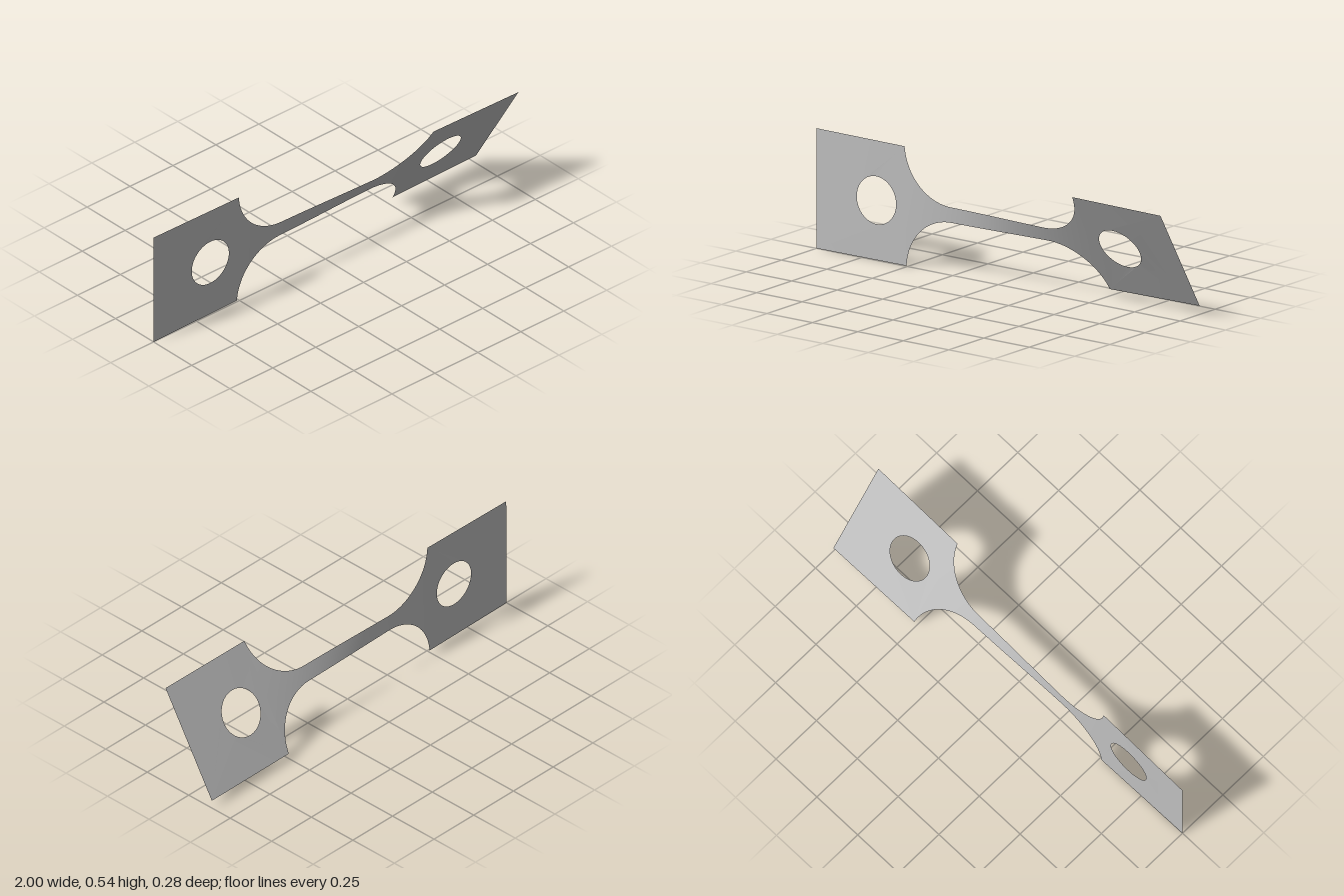
import * as THREE from 'three';

const HALF = 0.271, NECK = 0.036, FILLET = 0.25, FILLET_X = 0.26, EDGE = 0.51, HOLE_X = 0.67, HOLE_R = 0.108;

// Twist about the long axis, nearly all of it in the slender neck
const twistAt = (x) => THREE.MathUtils.degToRad(15.55 + 15.5 * Math.tanh(3 * x));

// Twists a flat sheet and lifts it to stand on the ground
function twist(geometry) {
  const p = geometry.attributes.position;
  for (let i = 0; i < p.count; i++) {
    const x = p.getX(i), y = p.getY(i), a = twistAt(x);
    p.setXYZ(i, x, HALF + y * Math.cos(a), y * Math.sin(a));
  }
  geometry.computeVertexNormals();
  return geometry;
}

// Square grip tab with a round hole
function gripTab(side) {
  const a = Math.min(side, side * EDGE), b = Math.max(side, side * EDGE);
  const shape = new THREE.Shape();
  shape.moveTo(a, -HALF).lineTo(b, -HALF).lineTo(b, HALF).lineTo(a, HALF).closePath();
  shape.holes.push(new THREE.Path().absarc(side * HOLE_X, 0, HOLE_R, 0, Math.PI * 2, true));
  return twist(new THREE.ShapeGeometry(shape, 32));
}

// Neck with a circular fillet at each end
function neck() {
  const columns = [];
  const sweep = Math.acos((NECK + FILLET - HALF) / FILLET);
  for (let i = 0; i <= 24; i++) {
    const t = sweep * (1 - i / 24);
    columns.push([-FILLET_X - FILLET * Math.sin(t), NECK + FILLET * (1 - Math.cos(t))]);
  }
  columns[0][0] = -EDGE;
  for (let i = 1; i < 20; i++) columns.push([-FILLET_X + (2 * FILLET_X * i) / 20, NECK]);
  for (let i = 24; i >= 0; i--) columns.push([-columns[i][0], columns[i][1]]);

  const rows = 8;
  const g = new THREE.PlaneGeometry(1, 1, columns.length - 1, rows);
  const p = g.attributes.position;
  for (let i = 0; i < p.count; i++) {
    const [x, h] = columns[i % columns.length];
    p.setXYZ(i, x, p.getY(i) * 2 * h, 0);
  }
  return twist(g);
}

export function createModel() {
  const group = new THREE.Group();
  group.name = 'twistedTestStrip';
  const grey = new THREE.MeshStandardMaterial({ color: 0xbfbfbf, side: THREE.DoubleSide });
  grey.name = 'plain grey';
  const add = (name, geometry) => {
    const mesh = new THREE.Mesh(geometry, grey);
    mesh.name = name;
    group.add(mesh);
  };
  add('rightGripTab', gripTab(-1));
  add('neck', neck());
  add('leftGripTab', gripTab(1));
  return group;
}
